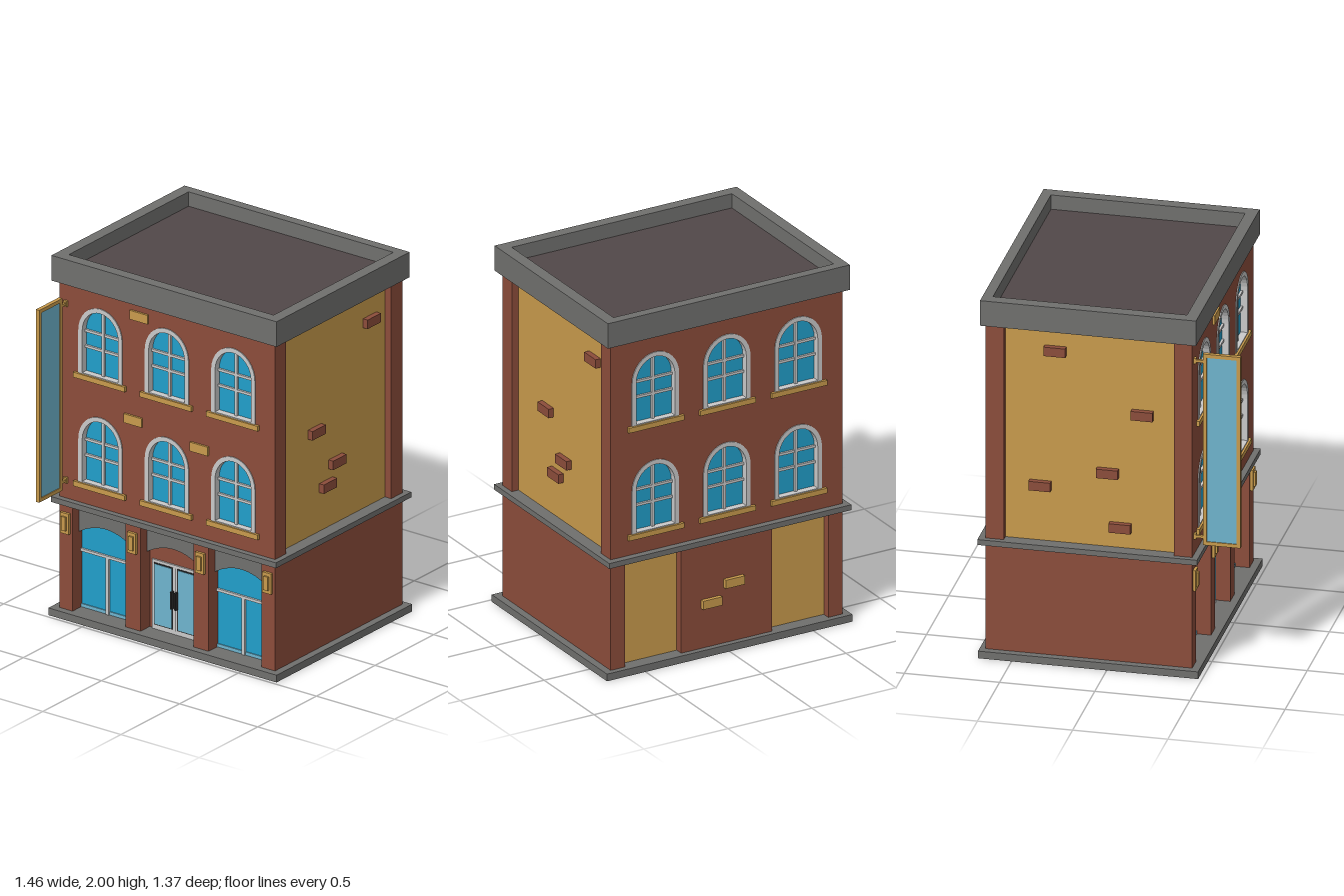
import * as THREE from 'three';

const mat = (name, color, double) => {
  const m = new THREE.MeshStandardMaterial({ color });
  m.name = name;
  if (double) m.side = THREE.DoubleSide;
  return m;
};
const brick = mat('brick', 0x8c4d3b), ochre = mat('ochre', 0xc99b4c), stone = mat('stone grey', 0x70706e);
const roofing = mat('roofing', 0x524849), white = mat('frame white', 0xcacaca), glass = mat('glass blue', 0x219fcb);
const paleGlass = mat('pale glass', 0x6fb4ce), dark = mat('dark metal', 0x2b2b2b);

// box given by its minimum and maximum corners
function box(parent, name, m, x0, x1, y0, y1, z0, z1) {
  const mesh = new THREE.Mesh(new THREE.BoxGeometry(x1 - x0, y1 - y0, z1 - z0), m);
  mesh.position.set((x0 + x1) / 2, (y0 + y1) / 2, (z0 + z1) / 2);
  mesh.name = name;
  parent.add(mesh);
  return mesh;
}

// flat outline extruded from z0 to z1
function slab(parent, name, m, shape, z0, z1, x = 0, y = 0) {
  const geo = new THREE.ExtrudeGeometry(shape, { depth: z1 - z0, bevelEnabled: false, curveSegments: 8 });
  const mesh = new THREE.Mesh(geo, m);
  mesh.position.set(x, y, z0);
  mesh.name = name;
  parent.add(mesh);
  return mesh;
}

function group(parent, name) {
  const g = new THREE.Group();
  g.name = name;
  parent.add(g);
  return g;
}

// round-headed outline standing on (x, y)
function archPath(Type, x, y, r, h) {
  const p = new Type();
  p.moveTo(x - r, y);
  p.lineTo(x + r, y);
  p.lineTo(x + r, y + h - r * 1.08);
  p.absellipse(x, y + h - r * 1.08, r, r * 1.08, 0, Math.PI, false, 0);
  p.lineTo(x - r, y);
  return p;
}

const WIN_X = [-0.425, 0, 0.425], WIN_Y = [0.775, 1.38], WIN_H = 0.388, WIN_R = 0.14;

function archedWindow(parent, x, y) {
  const g = group(parent, 'archedWindow');
  const frame = archPath(THREE.Shape, 0, 0, WIN_R, WIN_H);
  frame.holes.push(archPath(THREE.Path, 0, 0.006, 0.115, WIN_H - 0.031));
  slab(g, 'windowFrame', white, frame, -0.04, 0.005);
  slab(g, 'windowGlass', glass, archPath(THREE.Shape, 0, 0, 0.12, WIN_H - 0.025), -0.04, -0.032);
  box(g, 'windowMullion', white, -0.008, 0.008, 0, WIN_H - 0.02, -0.035, -0.018);
  for (const h of [0.145, 0.232]) box(g, 'windowBar', white, -0.117, 0.117, h - 0.007, h + 0.007, -0.035, -0.02);
  box(g, 'windowSill', ochre, -0.165, 0.165, -0.028, 0, -0.03, 0.016);
  g.position.set(x, y, 0);
}

// upper wall with six windows, outer face on z = 0
function upperFacade(parent, name) {
  const g = group(parent, name);
  const wall = new THREE.Shape();
  wall.moveTo(-0.69, 0.66);
  wall.lineTo(0.69, 0.66);
  wall.lineTo(0.69, 1.86);
  wall.lineTo(-0.69, 1.86);
  wall.closePath();
  for (const x of WIN_X) for (const y of WIN_Y) {
    wall.holes.push(archPath(THREE.Path, x, y, WIN_R, WIN_H));
    archedWindow(g, x, y);
  }
  slab(g, 'upperWall', brick, wall, -0.095, 0);
  return g;
}

// segmental arch: filled above (spandrel) or below (infill)
function segment(x0, x1, yFlat) {
  const s = new THREE.Shape();
  s.moveTo(x0, yFlat);
  s.lineTo(x0, 0.465);
  s.quadraticCurveTo((x0 + x1) / 2, 0.575, x1, 0.465);
  s.lineTo(x1, yFlat);
  s.closePath();
  return s;
}

function shopWindow(parent, side) {
  const g = group(parent, 'shopWindow');
  slab(g, 'shopSpandrel', stone, segment(-0.17, 0.17, 0.63), 0.345, 0.385);
  slab(g, 'shopGlass', glass, segment(-0.17, 0.17, 0.04), 0.345, 0.36);
  box(g, 'shopTransom', white, -0.17, 0.17, 0.352, 0.367, 0.35, 0.372);
  box(g, 'shopMullion', white, -0.01, 0.01, 0.04, 0.355, 0.35, 0.372);
  box(g, 'shopBottomStrip', paleGlass, -0.17, 0.17, 0.04, 0.058, 0.358, 0.366);
  g.position.x = side * 0.435;
}

function entrance(parent) {
  const g = group(parent, 'entrance');
  slab(g, 'doorSpandrel', stone, segment(-0.17, 0.17, 0.63), 0.345, 0.385);
  slab(g, 'doorSurround', brick, segment(-0.17, 0.17, 0.04), 0.34, 0.36);
  box(g, 'doorFrame', white, -0.15, 0.15, 0.04, 0.425, 0.345, 0.37);
  box(g, 'doorGap', dark, -0.0015, 0.0015, 0.06, 0.41, 0.365, 0.372);
  for (const s of [-1, 1]) {
    const leaf = group(g, 'doorLeaf');
    box(leaf, 'paneEdge', dark, -0.06, 0.06, 0.065, 0.41, 0.367, 0.373);
    box(leaf, 'doorPane', paleGlass, -0.054, 0.054, 0.071, 0.404, 0.37, 0.376);
    box(leaf, 'doorHandle', dark, -s * 0.061 - 0.006, -s * 0.061 + 0.006, 0.185, 0.28, 0.37, 0.392);
    leaf.position.x = s * 0.074;
  }
}

function wallLamp(parent, x) {
  const g = group(parent, 'wallLamp');
  box(g, 'lampBack', ochre, -0.028, 0.028, 0.465, 0.58, 0.44, 0.455);
  box(g, 'lampFront', ochre, -0.014, 0.014, 0.485, 0.562, 0.45, 0.465);
  g.position.x = x;
}

function hangingSign(parent) {
  const g = group(parent, 'hangingSign');
  box(g, 'signPanel', paleGlass, -0.006, 0.006, 0.73, 1.78, 0.495, 0.678);
  for (const y of [0.72, 1.77]) box(g, 'signRail', ochre, -0.011, 0.011, y, y + 0.02, 0.488, 0.685);
  for (const z of [0.488, 0.665]) box(g, 'signStile', ochre, -0.011, 0.011, 0.74, 1.77, z, z + 0.02);
  for (const y of [0.762, 1.745]) {
    box(g, 'signBracket', ochre, -0.007, 0.007, y - 0.007, y + 0.007, 0.44, 0.49);
    box(g, 'bracketPlate', ochre, -0.011, 0.011, y - 0.016, y + 0.016, 0.438, 0.452);
  }
  g.position.x = -0.645;
}

export function createModel() {
  const model = new THREE.Group();
  model.name = 'townBuilding';

  // stone bands and roof
  box(model, 'basePlinth', stone, -0.73, 0.73, 0, 0.04, -0.676, 0.48);
  box(model, 'storeyBand', stone, -0.72, 0.72, 0.63, 0.66, -0.682, 0.472);
  box(model, 'roof', roofing, -0.68, 0.68, 1.86, 1.92, -0.64, 0.43);
  for (const [x0, x1, z0, z1] of [[-0.72, 0.72, 0.405, 0.467], [-0.72, 0.72, -0.668, -0.615],
    [-0.72, -0.655, -0.615, 0.405], [0.655, 0.72, -0.615, 0.405]]) box(model, 'parapet', stone, x0, x1, 1.86, 2, z0, z1);

  // upper storeys: plastered sides between brick facades
  box(model, 'plasterCore', ochre, -0.65, 0.65, 0.66, 1.86, -0.555, 0.345);
  upperFacade(model, 'frontFacade').position.z = 0.44;
  const back = upperFacade(model, 'backFacade');
  back.rotation.y = Math.PI;
  back.position.z = -0.645;

  // ground floor
  box(model, 'groundCore', brick, -0.69, 0.69, 0.04, 0.63, -0.555, 0.345);
  box(model, 'backMiddleWall', brick, -0.27, 0.27, 0.04, 0.63, -0.645, -0.555);
  for (const s of [-1, 1]) {
    const outer = s * 0.6475, inner = s * 0.2175;
    box(model, 'outerPillar', brick, outer - 0.0425, outer + 0.0425, 0.04, 0.63, 0.345, 0.44);
    box(model, 'innerPillar', brick, inner - 0.0475, inner + 0.0475, 0.04, 0.63, 0.345, 0.44);
    box(model, 'backPillar', brick, outer - 0.0425, outer + 0.0425, 0.04, 0.63, -0.645, -0.555);
    box(model, 'backPanel', ochre, s * 0.4375 - 0.1675, s * 0.4375 + 0.1675, 0.04, 0.63, -0.6, -0.555);
    wallLamp(model, outer);
    wallLamp(model, inner);
    shopWindow(model, s);
  }
  entrance(model);
  hangingSign(model);

  // loose accent bricks
  for (const [x, y] of [[-0.175, 1.79], [-0.213, 1.205], [0.21, 1.155]])
    box(model, 'frontBrick', ochre, x - 0.057, x + 0.057, y - 0.025, y + 0.025, 0.43, 0.452);
  for (const [x, y] of [[0.095, 0.288], [-0.04, 0.375]])
    box(model, 'backBrick', ochre, x - 0.057, x + 0.057, y - 0.024, y + 0.024, -0.667, -0.64);
  const sideBricks = {
    1: [[-0.42, 1.69], [0.05, 1.23], [-0.127, 1.005], [-0.047, 0.9]],
    '-1': [[-0.287, 1.73], [0.171, 1.416], [-0.012, 1.074], [-0.366, 0.97], [0.055, 0.775]],
  };
  for (const s of [1, -1]) for (const [z, y] of sideBricks[s])
    box(model, 'sideBrick', brick, s * 0.66 - 0.02, s * 0.66 + 0.02, y - 0.025, y + 0.025, z - 0.057, z + 0.057);

  return model;
}
